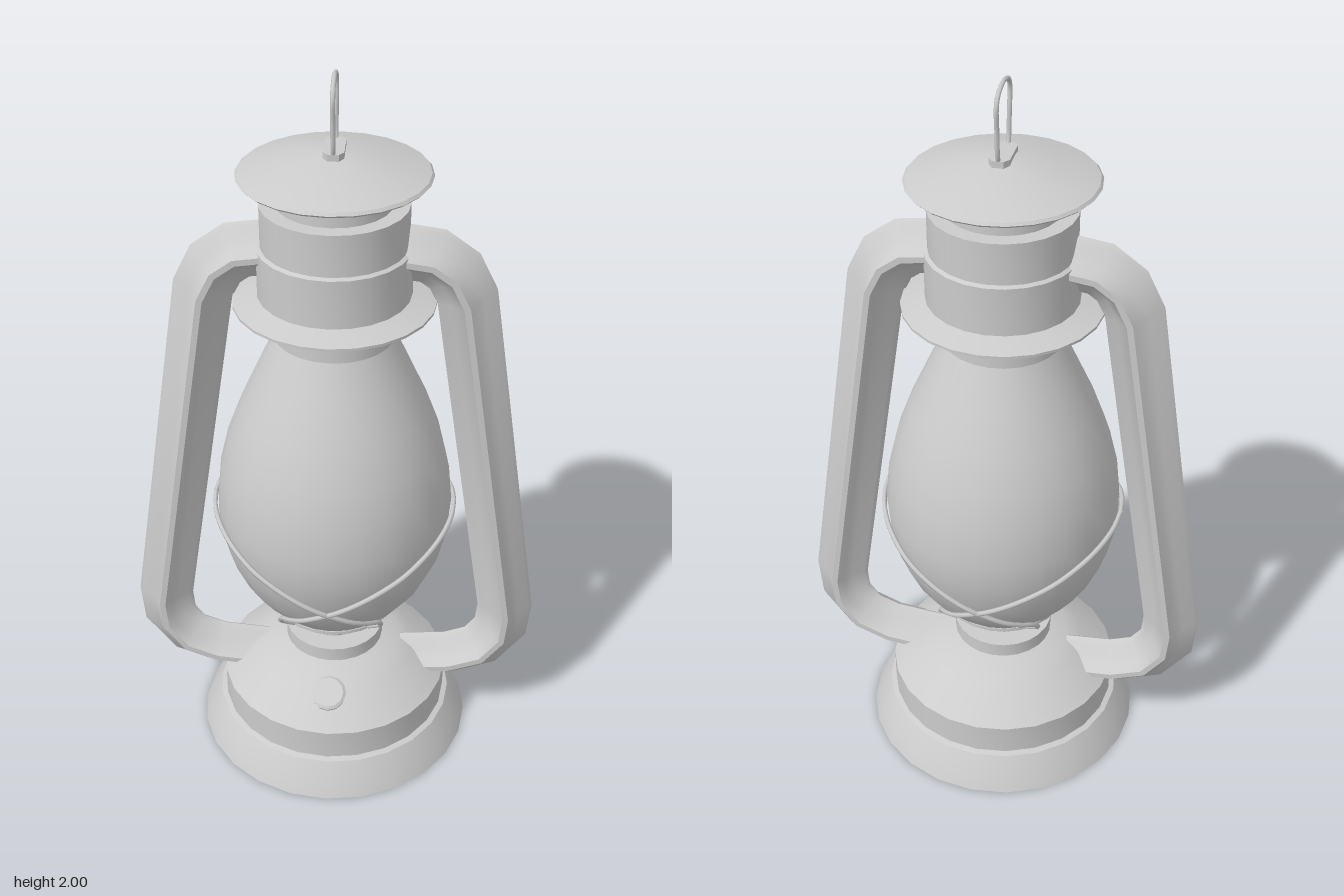
import * as THREE from 'three';
import { toCreasedNormals } from 'three/addons/utils/BufferGeometryUtils.js';

const SIDES = 24;
const grey = () => new THREE.MeshStandardMaterial({ color: 0xcccccc, side: THREE.DoubleSide });
const V = (x, y, z) => new THREE.Vector3(x, y, z);

function part(name, geometry) {
  const mesh = new THREE.Mesh(geometry, grey());
  mesh.name = name;
  return mesh;
}

// Turned part from [radius, height] pairs, listed from the bottom up
function turned(name, profile, sides = SIDES, crease = 0.4) {
  const pts = profile.map(([r, y]) => new THREE.Vector2(r, y));
  return part(name, toCreasedNormals(new THREE.LatheGeometry(pts, sides), crease));
}

function wire(name, points, radius, steps = 40) {
  const curve = new THREE.CatmullRomCurve3(points, false, 'centripetal');
  return part(name, new THREE.TubeGeometry(curve, steps, radius, 6));
}

// Sweep a closed [outward, z] section along a path in the xy plane with mitred bends
function sweepFlat(path, section) {
  const n = section.length, pos = [], idx = [];
  const pts = path.map(([x, y]) => new THREE.Vector2(x, y));
  pts.forEach((p, i) => {
    const prev = pts[Math.max(i - 1, 0)], next = pts[Math.min(i + 1, pts.length - 1)];
    const a = (i ? p.clone().sub(prev) : next.clone().sub(p)).normalize();
    const b = (next !== p ? next.clone().sub(p) : a.clone()).normalize();
    const t = a.clone().add(b).normalize();
    const miter = 1 / t.dot(a);
    for (const [u, w] of section) pos.push(p.x - t.y * u * miter, p.y + t.x * u * miter, w);
    if (i === 0) return;
    for (let j = 0; j < n; j++) {
      const k = (j + 1) % n, r0 = (i - 1) * n, r1 = i * n;
      idx.push(r0 + j, r0 + k, r1 + j, r0 + k, r1 + k, r1 + j);
    }
  });
  const g = new THREE.BufferGeometry();
  g.setAttribute('position', new THREE.Float32BufferAttribute(pos, 3));
  g.setIndex(idx);
  return toCreasedNormals(g, 0.6);
}

// Glass outline, also used to lay the guard wires on its surface
const GLASS = [[0.165, 0.43], [0.22, 0.49], [0.262, 0.55], [0.297, 0.63], [0.316, 0.71], [0.322, 0.79],
  [0.311, 0.9], [0.287, 1.0], [0.25, 1.1], [0.205, 1.2], [0.155, 1.31]];
function glassRadius(y) {
  const i = Math.max(1, GLASS.findIndex(p => p[1] >= y));
  const [r0, y0] = GLASS[i - 1], [r1, y1] = GLASS[i];
  return r0 + (r1 - r0) * (y - y0) / (y1 - y0);
}

export function createModel() {
  const lantern = new THREE.Group();
  lantern.name = 'lantern';

  // Fuel tank with flared foot, recessed underside and domed top
  lantern.add(turned('fuelTank', [[0, 0.02], [0.355, 0.02], [0.365, 0], [0.392, 0], [0.375, 0.04], [0.34, 0.095],
    [0.325, 0.1], [0.325, 0.19], [0.305, 0.205], [0.23, 0.262], [0.19, 0.284], [0.14, 0.298],
    [0.14, 0.34], [0.08, 0.34]]));
  lantern.add(turned('burnerNeck', [[0.082, 0.33], [0.082, 0.375], [0.09, 0.375], [0.172, 0.425], [0.177, 0.43],
    [0.177, 0.44], [0.15, 0.44]]));

  // Filler cap on the front of the dome
  const cap = turned('fillerCap', [[0.036, -0.03], [0.04, 0], [0.04, 0.012], [0.022, 0.016], [0.022, 0.04],
    [0.048, 0.044], [0.05, 0.058], [0.042, 0.064], [0, 0.064]], 12, 0.6);
  cap.position.set(0, 0.235, 0.23);
  cap.rotation.x = 0.52;
  lantern.add(cap);

  // Glass globe
  lantern.add(turned('glassGlobe', GLASS, SIDES, 0.6));

  // Guard wires: from each side, crossing front and back, down to the burner rim
  const guard = new THREE.Group();
  guard.name = 'globeGuard';
  for (const sx of [1, -1]) for (const sz of [1, -1]) {
    const pts = [];
    for (let i = 0; i <= 12; i++) {
      const a = i / 12 * 2.2;
      const y = 0.6 + 0.185 * Math.cos(a), r = glassRadius(y) + 0.008;
      pts.push(V(sx * r * Math.cos(a), y, sz * r * Math.sin(a)));
    }
    pts.push(V(-sx * 0.14, 0.465, sz * 0.165), V(-sx * 0.105, 0.435, sz * 0.14));
    guard.add(wire('guardWire', pts, 0.007));
  }
  lantern.add(guard);

  // Chimney: collar, wide brim and stacked sleeves
  lantern.add(turned('chimney', [[0.15, 1.305], [0.158, 1.31], [0.158, 1.385], [0.2, 1.385], [0.26, 1.405],
    [0.26, 1.412], [0.197, 1.43], [0.197, 1.56], [0.187, 1.565], [0.187, 1.675], [0.147, 1.675], [0.147, 1.75]]));
  lantern.add(turned('hood', [[0.14, 1.742], [0.235, 1.744], [0.241, 1.75], [0.235, 1.757], [0.13, 1.789],
    [0.03, 1.808], [0, 1.81]]));

  // Ridged side tubes, one turned half round to mirror the other
  const section = [[0.077, 0], [0.068, 0.012], [0.04, 0.031], [0.022, 0.055], [0.008, 0.075], [-0.008, 0.075],
    [-0.022, 0.055], [-0.04, 0.031], [-0.068, 0.012]];
  const mirrored = section.slice(1).reverse().map(([u, w]) => [u, -w]);
  const tubePath = [[0.16, 1.547], [0.245, 1.535], [0.3, 1.495], [0.335, 1.425], [0.492, 0.42], [0.485, 0.335],
    [0.43, 0.26], [0.34, 0.225], [0.2, 0.212]];
  const tube = sweepFlat(tubePath, [...section, [-0.077, 0], ...mirrored]);
  const leftTube = part('leftSideTube', tube);
  const rightTube = part('rightSideTube', tube);
  rightTube.rotation.y = Math.PI;
  lantern.add(leftTube, rightTube);

  // Bail loop and its mount on the hood
  const mountShape = new THREE.Shape([[0.026, 0.04], [0.014, 0.056], [-0.014, 0.056], [-0.026, 0.04],
    [-0.026, -0.04], [-0.014, -0.056], [0.014, -0.056], [0.026, -0.04]].map(p => new THREE.Vector2(...p)));
  const mountGeo = new THREE.ExtrudeGeometry(mountShape, { depth: 0.025, bevelEnabled: false });
  mountGeo.rotateX(-Math.PI / 2).translate(0, 1.795, 0);
  lantern.add(part('bailMount', mountGeo));
  const half = [[1.81, 0.045], [1.83, 0.055], [1.9, 0.062], [1.955, 0.067], [1.978, 0.055], [1.99, 0.025]];
  const loop = [...half.map(([y, z]) => V(0, y, z)), V(0, 1.994, 0), ...half.map(([y, z]) => V(0, y, -z)).reverse()];
  lantern.add(wire('bailLoop', loop, 0.006));

  return lantern;
}
